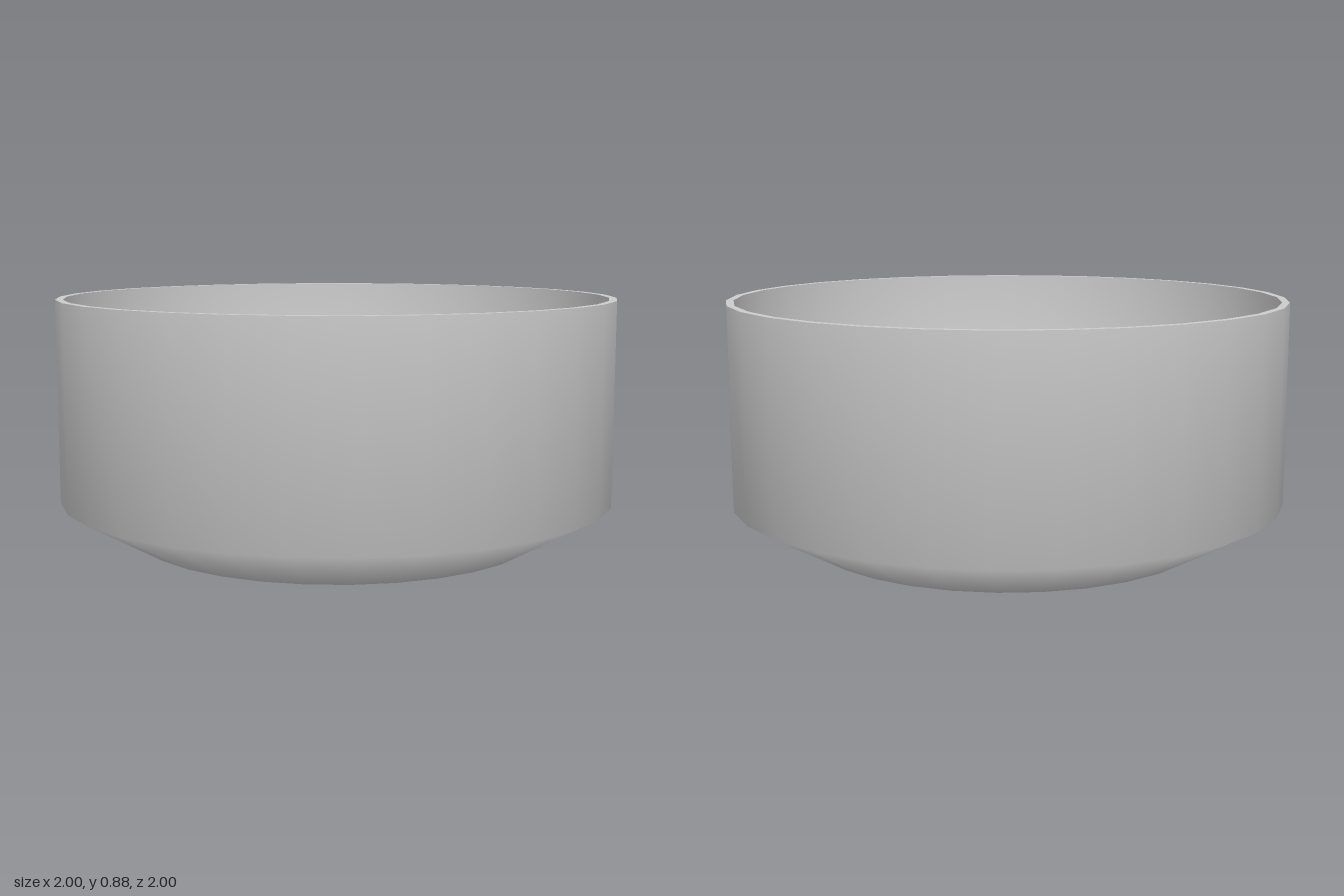
import * as THREE from 'three';

const SIDES = 31;      // odd count: a corner on +x, a flat side on -x
const R = 1.0026;      // outer radius
const H = 0.88;        // rim height
const T = 0.027;       // wall thickness
const BASE = 0.727;    // radius of the flat bottom
const BEND = 0.157;    // height where the slope meets the wall

export function createModel() {
  const bowl = new THREE.Group();
  bowl.name = 'bowl';
  const material = new THREE.MeshStandardMaterial({ color: 0xcccccc });

  // One smooth surface of revolution; separate surfaces keep the edges between them sharp
  const addSurface = (name, profile) => {
    const points = profile.map(([r, y]) => new THREE.Vector2(r, y));
    const mesh = new THREE.Mesh(new THREE.LatheGeometry(points, SIDES, Math.PI / 2), material);
    mesh.name = name;
    bowl.add(mesh);
  };

  // Inner corners follow from offsetting the outer profile by the wall thickness
  const slope = Math.atan2(BEND, R - BASE);
  const innerBase = BASE - T * Math.tan(slope / 2);
  const innerBend = BEND + T * Math.tan((Math.PI / 2 - slope) / 2);

  addSurface('underside', [[0, 0], [BASE, 0]]);
  addSurface('outerWall', [[BASE, 0], [R, BEND], [R, H]]);
  addSurface('rim', [[R, H], [R - T, H]]);
  addSurface('innerWall', [[R - T, H], [R - T, innerBend], [innerBase, T]]);
  addSurface('floor', [[innerBase, T], [0, T]]);

  // Centre the odd-sided outline on x = 0
  bowl.children.forEach((mesh) => { mesh.position.x = 1 - R; });
  return bowl;
}
